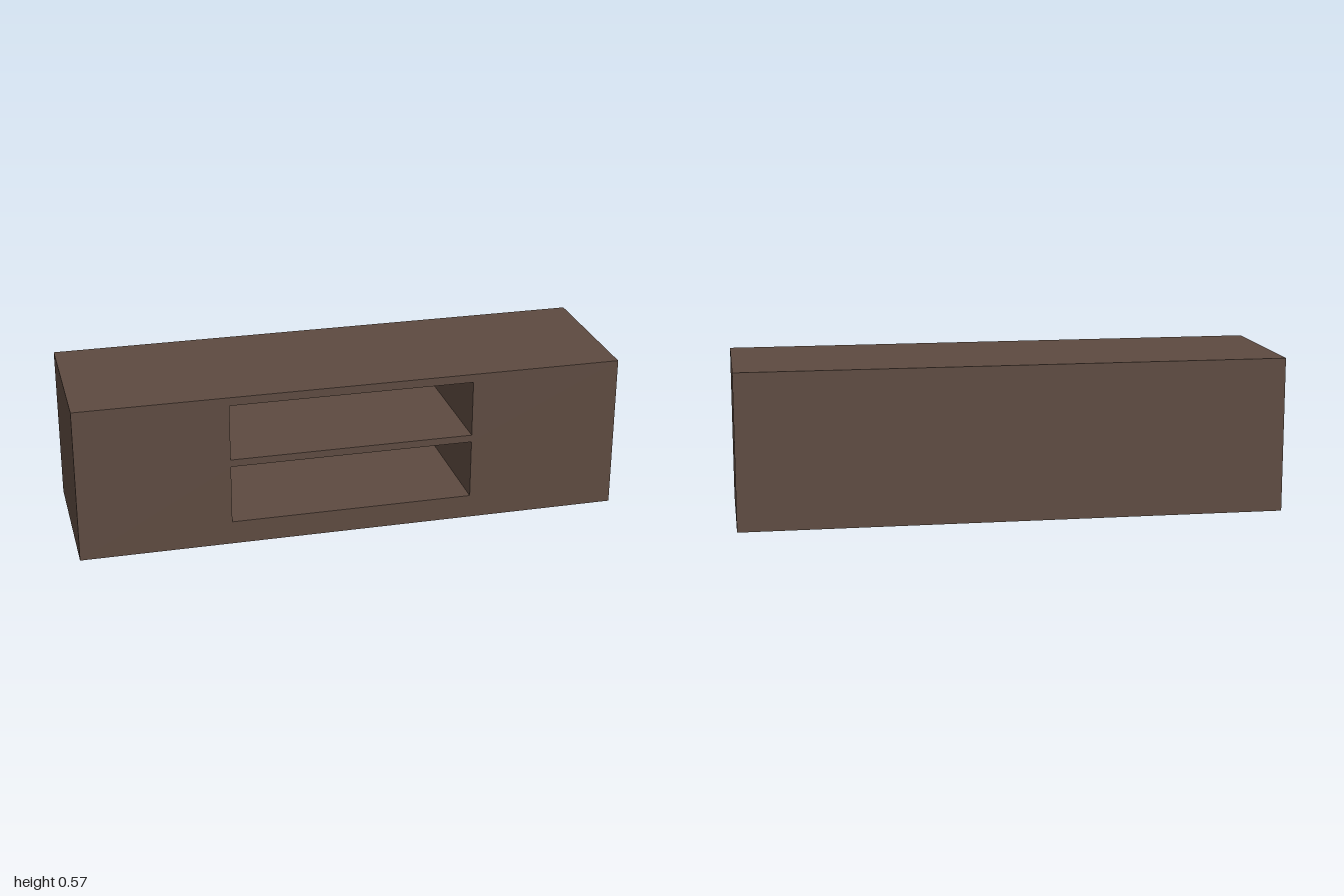
import * as THREE from 'three';

const W = 2, H = 0.573, D = 0.573, BACK = 0.03;

// Adds an axis-aligned rectangle to a shape or path
function rect(path, x0, y0, x1, y1) {
  path.moveTo(x0, y0);
  path.lineTo(x1, y0);
  path.lineTo(x1, y1);
  path.lineTo(x0, y1);
  path.closePath();
  return path;
}

export function createModel() {
  const model = new THREE.Group();
  model.name = 'lowCabinet';
  const wood = new THREE.MeshStandardMaterial({ color: 0x5d4a40 });
  wood.name = 'darkBrownWood';

  // Body with two open shelf niches, one above the other
  const outline = rect(new THREE.Shape(), -W / 2, 0, W / 2, H);
  for (const [bottom, top] of [[0.087, 0.306], [0.333, 0.542]]) {
    outline.holes.push(rect(new THREE.Path(), -0.448, bottom, 0.446, top));
  }
  const body = new THREE.Mesh(
    new THREE.ExtrudeGeometry(outline, { depth: D - BACK, bevelEnabled: false }), wood);
  body.name = 'cabinetBody';
  body.position.z = -D / 2 + BACK;
  model.add(body);

  // Panel closing the back of the niches
  const back = new THREE.Mesh(new THREE.BoxGeometry(W, H, BACK), wood);
  back.name = 'backPanel';
  back.position.set(0, H / 2, -D / 2 + BACK / 2);
  model.add(back);

  return model;
}
